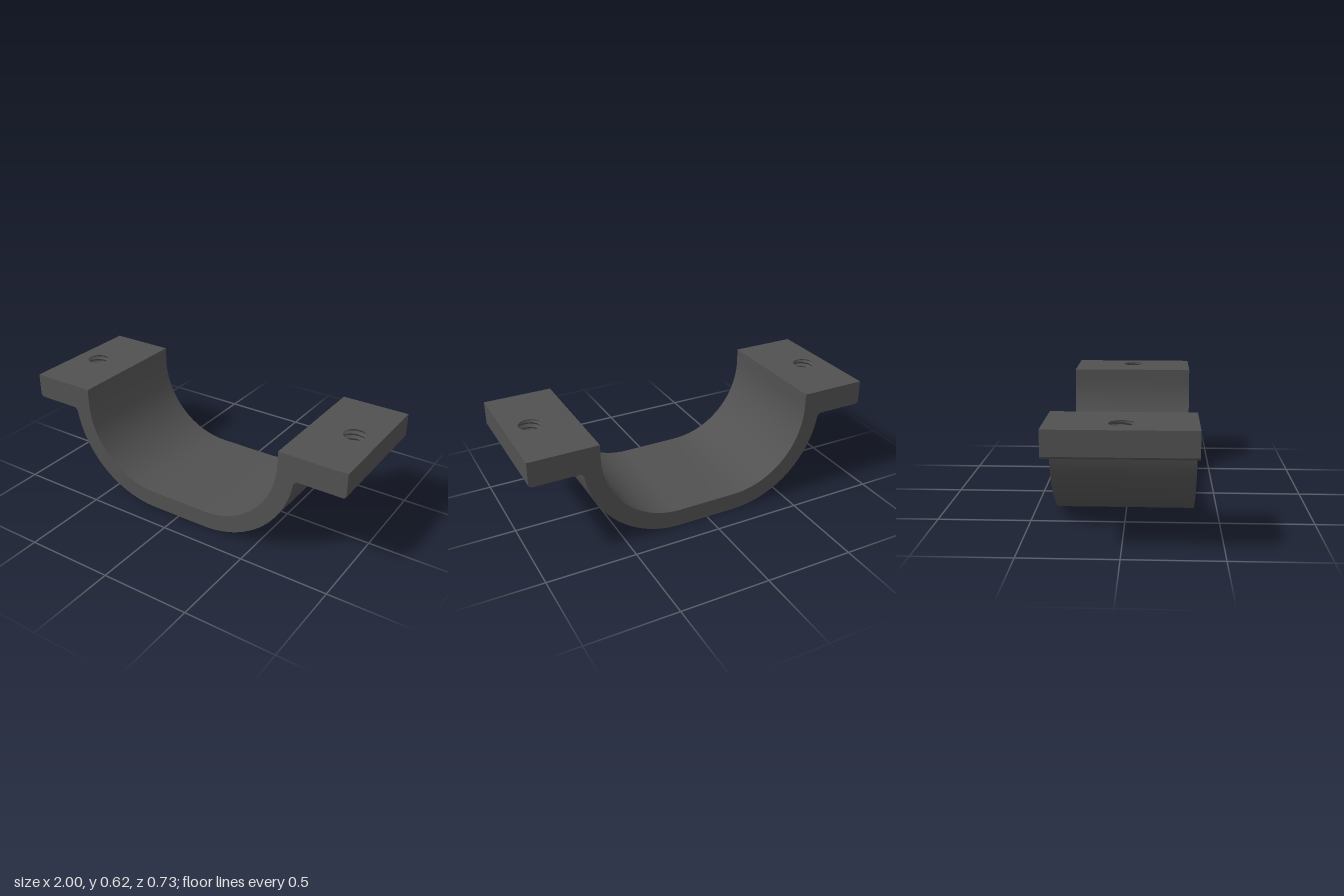
import * as THREE from 'three';
import { toCreasedNormals } from 'three/addons/utils/BufferGeometryUtils.js';

const HALF_DEPTH = 0.367, TOP = 0.625, TAB_BOTTOM = 0.485;
const FLAT = 0.17, ARC_Y = 0.55, INNER_R = 0.45, OUTER_R = 0.55;
const HOLE_X = 0.861, HOLE_R = 0.061;
const BOTTOM_IN = 0.73, BOTTOM_OUT = 0.988;
const material = new THREE.MeshStandardMaterial({ color: 0x515151 });

function addMesh(parent, name, geometry) {
  const mesh = new THREE.Mesh(geometry, material);
  mesh.name = name;
  parent.add(mesh);
  return mesh;
}

// Points of a circular arc about (FLAT, ARC_Y)
function arc(radius, from, to, steps = 28) {
  return Array.from({ length: steps + 1 }, (_, i) => {
    const a = from + (to - from) * i / steps;
    return new THREE.Vector2(FLAT + radius * Math.cos(a), ARC_Y + radius * Math.sin(a));
  });
}

// Closed strap section, anticlockwise: right half, then its mirror image
function sectionPoints() {
  const V = (x, y) => new THREE.Vector2(x, y);
  const half = [
    ...arc(OUTER_R, -Math.PI / 2, -Math.asin((ARC_Y - 0.47) / OUTER_R)),
    V(BOTTOM_IN, TAB_BOTTOM),
    V(BOTTOM_OUT, TAB_BOTTOM), V(1, 0.497),
    V(1, TOP), V(FLAT + INNER_R, TOP),
    ...arc(INNER_R, 0, -Math.PI / 2),
  ];
  return [...half, ...half.map((p) => V(-p.x, p.y)).reverse()];
}

// Walls swept along z, leaving the drilled tab faces open
function wallGeometry(points) {
  const pos = [];
  points.forEach((a, i) => {
    const b = points[(i + 1) % points.length];
    if (a.y === b.y && a.y > 0.4) return;
    const h = HALF_DEPTH;
    pos.push(a.x, a.y, -h, b.x, b.y, -h, b.x, b.y, h);
    pos.push(a.x, a.y, -h, b.x, b.y, h, a.x, a.y, h);
  });
  const geo = new THREE.BufferGeometry();
  geo.setAttribute('position', new THREE.Float32BufferAttribute(pos, 3));
  return toCreasedNormals(geo, 0.35);
}

// Rectangle in x and z with the screw hole cut out
function drilledFace(side, x0, x1) {
  const [a, b] = side > 0 ? [x0, x1] : [-x1, -x0];
  const h = HALF_DEPTH;
  const shape = new THREE.Shape([[a, -h], [b, -h], [b, h], [a, h]].map((p) => new THREE.Vector2(...p)));
  shape.holes.push(new THREE.Path().absarc(side * HOLE_X, 0, HOLE_R, 0, Math.PI * 2, true));
  return new THREE.ShapeGeometry(shape, 20);
}

// Bore facing inwards, with a helical groove that fades at both ends
function threadGeometry() {
  const rows = 50, pitch = 0.028, depth = 0.012, height = TOP - TAB_BOTTOM;
  const line = Array.from({ length: rows + 1 }, (_, i) =>
    new THREE.Vector2(HOLE_R, TOP - height * i / rows));
  const geo = new THREE.LatheGeometry(line, 40);
  const p = geo.attributes.position;
  for (let i = 0; i < p.count; i++) {
    const x = p.getX(i), y = p.getY(i), z = p.getZ(i);
    const turn = y / pitch - Math.atan2(-z, x) / (Math.PI * 2);
    const wave = 1 - Math.abs(2 * (turn - Math.floor(turn)) - 1);
    const fade = Math.min(1, (TOP - y) / 0.01, (y - TAB_BOTTOM) / 0.01);
    const scale = 1 + depth * wave * Math.max(0, fade) / HOLE_R;
    p.setXYZ(i, x * scale, y, z * scale);
  }
  return toCreasedNormals(geo, 0.7);
}

export function createModel() {
  const model = new THREE.Group();
  model.name = 'saddleClamp';

  // Curved strap
  const points = sectionPoints();
  const strap = new THREE.Group();
  strap.name = 'strap';
  model.add(strap);
  addMesh(strap, 'strapWalls', wallGeometry(points));
  const section = new THREE.ShapeGeometry(new THREE.Shape(points));
  addMesh(strap, 'frontFace', section).position.z = HALF_DEPTH;
  addMesh(strap, 'backFace', section.clone().rotateY(Math.PI)).position.z = -HALF_DEPTH;

  // Mounting tabs with threaded holes
  for (const [side, name] of [[1, 'left'], [-1, 'right']]) {
    const tab = new THREE.Group();
    tab.name = name + 'Tab';
    model.add(tab);
    const top = drilledFace(side, FLAT + INNER_R, 1).rotateX(-Math.PI / 2);
    addMesh(tab, name + 'TabTop', top).position.y = TOP;
    const bottom = drilledFace(side, BOTTOM_IN, BOTTOM_OUT).rotateX(Math.PI / 2);
    addMesh(tab, name + 'TabBottom', bottom).position.y = TAB_BOTTOM;
    addMesh(tab, name + 'ThreadedHole', threadGeometry()).position.x = side * HOLE_X;
  }
  return model;
}
